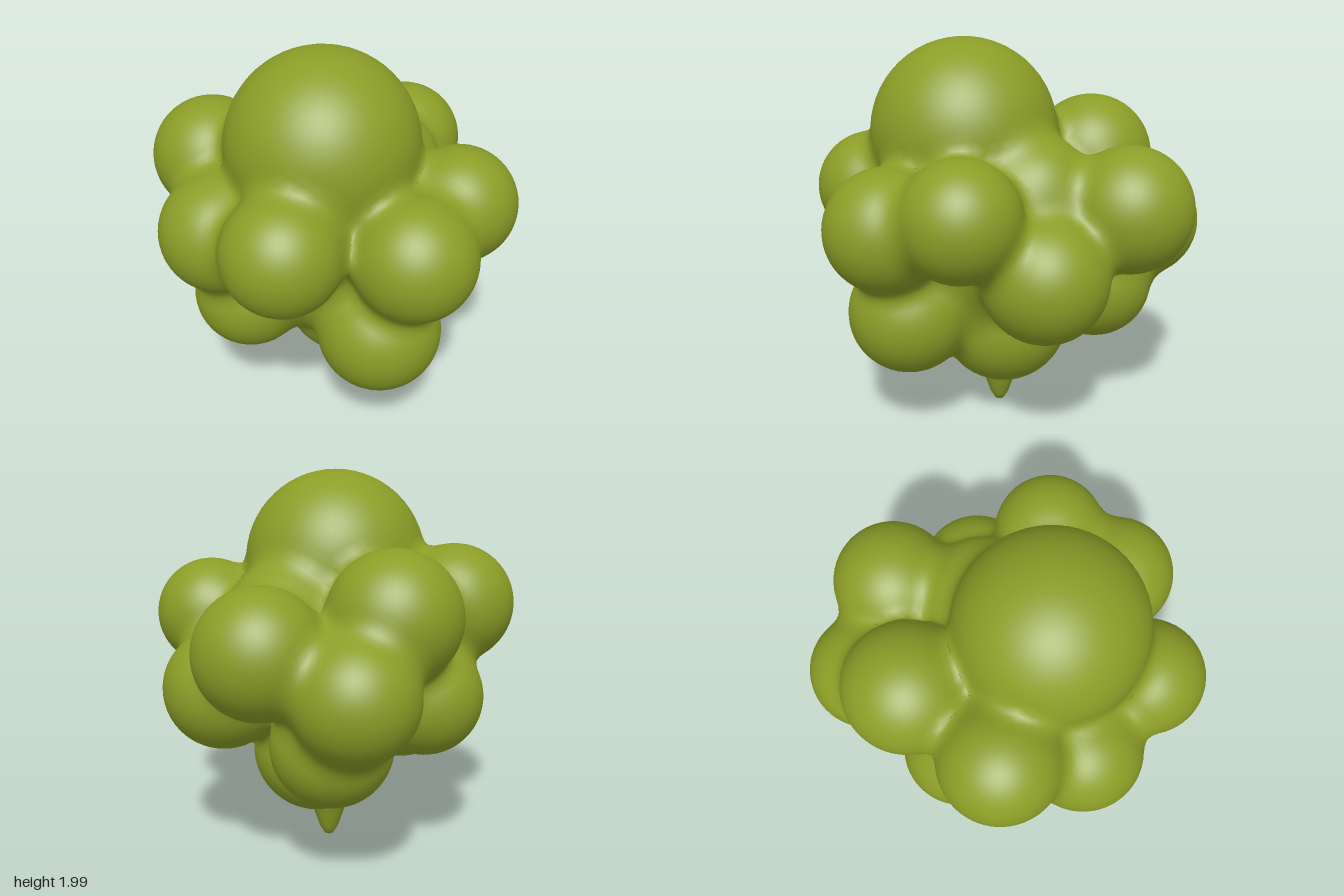
import * as THREE from 'three';

// [name, x, y, z, radius] of every round lobe
const LOBES = [
  ['crown', -0.1, 1.512, 0.16, 0.478],
  ['frontLobe', 0.15, 1.13, 0.695, 0.303],
  ['frontRightLobe', -0.44, 1.195, 0.54, 0.292],
  ['frontLeftLobe', 0.49, 1.235, 0.47, 0.29],
  ['leftLobe', 0.59, 0.92, 0.08, 0.31],
  ['leftBackLobe', 0.6, 1.2, -0.385, 0.313],
  ['upperBackLobe', -0.01, 1.335, -0.56, 0.327],
  ['backLobe', 0.28, 1.02, -0.697, 0.303],
  ['rightBackLobe', -0.53, 1.32, -0.32, 0.307],
  ['rightLobe', -0.613, 1.1, 0.09, 0.305],
  ['lowerRightBackLobe', -0.28, 0.885, -0.43, 0.3],
  ['lowerRightLobe', -0.46, 0.68, 0.04, 0.295],
  ['lowerFrontLobe', 0.05, 0.65, 0.55, 0.31],
  ['lowerBackLobe', 0.25, 0.715, -0.43, 0.303],
  ['shoulderLobe', 0.3, 1.24, -0.02, 0.31],
  ['base', 0.085, 0.53, 0.03, 0.342],
  ['core', -0.03, 0.98, 0.08, 0.51],
].map(([name, x, y, z, r]) => ({ name, c: new THREE.Vector3(x, y, z), r }));

const BLEND = 0.1;

// distance to the softly merged lobes
function field(p) {
  let d = Infinity;
  for (const { c, r } of LOBES) {
    const e = p.distanceTo(c) - r;
    if (d === Infinity) { d = e; continue; }
    const h = Math.max(BLEND - Math.abs(d - e), 0) / BLEND;
    d = Math.min(d, e) - h * h * BLEND * 0.25;
  }
  return d;
}

const q = new THREE.Vector3();
function slope(p, out) {
  const e = 0.004;
  const diff = (x, y, z) => field(q.set(p.x + x, p.y + y, p.z + z)) - field(q.set(p.x - x, p.y - y, p.z - z));
  return out.set(diff(e, 0, 0), diff(0, e, 0), diff(0, 0, e)).normalize();
}

// sphere whose vertices near a joint are pulled out onto the fillet
function lobeGeometry({ c, r }) {
  const g = new THREE.IcosahedronGeometry(r, 9);
  g.translate(c.x, c.y, c.z);
  const pos = g.attributes.position, nor = g.attributes.normal;
  const p = new THREE.Vector3(), n = new THREE.Vector3();
  for (let i = 0; i < pos.count; i++) {
    p.fromBufferAttribute(pos, i);
    if (field(p) < -0.12) continue;
    for (let k = 0; k < 4; k++) {
      const d = field(p);
      if (Math.abs(d) < 0.0005) break;
      p.addScaledVector(slope(p, n), -d);
    }
    slope(p, n);
    pos.setXYZ(i, p.x, p.y, p.z);
    nor.setXYZ(i, n.x, n.y, n.z);
  }
  return g;
}

export function createModel() {
  const group = new THREE.Group();
  const green = new THREE.MeshStandardMaterial({ color: 0x8b9d27 });
  green.name = 'olive green';

  for (const lobe of LOBES) {
    const mesh = new THREE.Mesh(lobeGeometry(lobe), green);
    mesh.name = lobe.name;
    group.add(mesh);
  }

  // pointed stem running up into the base
  const profile = [[0, 0], [0.025, 0.008], [0.05, 0.05], [0.07, 0.11], [0.09, 0.17], [0.108, 0.22], [0.12, 0.28]]
    .map(([x, y]) => new THREE.Vector2(x, y));
  const stem = new THREE.Mesh(new THREE.LatheGeometry(profile, 20), green);
  stem.name = 'stem';
  stem.position.set(0.02, 0, 0.02);
  group.add(stem);

  return group;
}
